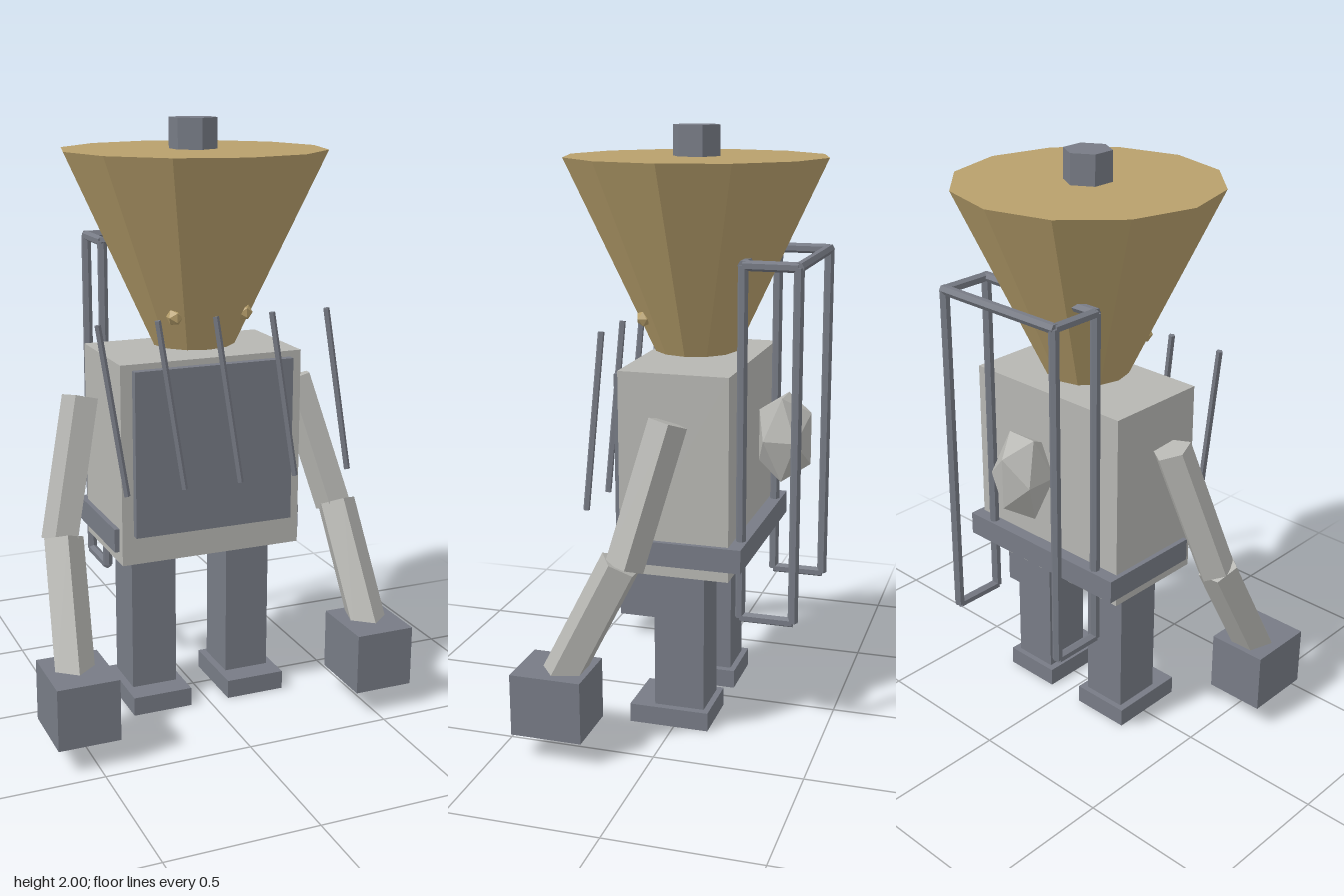
import * as THREE from 'three';

export function createModel() {
  const model = new THREE.Group();
  model.name = 'funnelHeadRobot';
  const flat = (name, color) => {
    const m = new THREE.MeshStandardMaterial({ color, flatShading: true });
    m.name = name;
    return m;
  };
  const brass = flat('brass', 0xb8a06c);
  const slate = flat('slate grey', 0x777b85);
  const pale = flat('pale grey', 0xb6b6b2);

  const add = (name, geometry, material, x = 0, y = 0, z = 0) => {
    const mesh = new THREE.Mesh(geometry, material);
    mesh.name = name;
    mesh.position.set(x, y, z);
    model.add(mesh);
    return mesh;
  };
  // Box given by its minimum and maximum corners
  const box = (name, material, a, b) => add(name,
    new THREE.BoxGeometry(b[0] - a[0], b[1] - a[1], b[2] - a[2]), material,
    (a[0] + b[0]) / 2, (a[1] + b[1]) / 2, (a[2] + b[2]) / 2);
  // Prism running between two points, with an optional twist of its corners
  const rod = (name, material, from, to, radius, sides, twist = 0) => {
    const a = new THREE.Vector3(...from), b = new THREE.Vector3(...to);
    const axis = a.clone().sub(b);
    const geometry = new THREE.CylinderGeometry(radius, radius, axis.length(), sides);
    geometry.rotateY(twist);
    const mesh = add(name, geometry, material, ...a.add(b).multiplyScalar(0.5).toArray());
    mesh.quaternion.setFromUnitVectors(new THREE.Vector3(0, 1, 0), axis.normalize());
    return mesh;
  };

  // Head: funnel with a hexagonal cap
  add('funnelHead', new THREE.CylinderGeometry(0.44, 0.14, 0.64, 12), brass, 0, 1.58, 0);
  add('headCap', new THREE.CylinderGeometry(0.08, 0.08, 0.1, 6), slate, 0, 1.95, 0);

  // Torso, chest plate and belt
  box('torso', pale, [-0.32, 0.56, -0.2], [0.32, 1.24, 0.17]);
  box('chestPlate', slate, [-0.28, 0.66, 0.16], [0.28, 1.22, 0.197]);
  box('belt', slate, [-0.337, 0.6, -0.245], [0.337, 0.68, 0.14]);

  // Slanted rods across the chest
  for (let i = -2; i <= 2; i++) {
    rod('chestRod', slate, [i * 0.2, 1.38, 0.192], [i * 0.2 + 0.08, 0.82, 0.222], 0.011, 5);
  }

  // Paired parts
  for (const s of [-1, 1]) {
    add('eye', new THREE.IcosahedronGeometry(0.029, 0), brass, s * 0.122, 1.378, 0.143);

    box('leg', slate, [s * 0.175 - 0.08, 0.06, -0.1], [s * 0.175 + 0.08, 0.57, 0.073]);
    box('foot', slate, [s * 0.175 - 0.105, 0, -0.12], [s * 0.175 + 0.105, 0.065, 0.155]);

    rod('upperArm', pale, [s * 0.39, 1.1, -0.02], [s * 0.505, 0.65, 0.09], 0.066, 5, Math.PI);
    rod('forearm', pale, [s * 0.505, 0.66, 0.1], [s * 0.538, 0.24, 0.31], 0.07, 5);
    box('hand', slate, [s * 0.53 - 0.104, 0.083, 0.2], [s * 0.53 + 0.104, 0.292, 0.44]);

    // Side loop of the back frame
    const x = s * 0.243, top = 1.582, low = 0.415, near = -0.222, far = -0.4;
    for (const z of [near, far]) rod('framePost', slate, [x, top, z], [x, low, z], 0.017, 6);
    for (const y of [top, low]) rod('frameSideBar', slate, [x, y, near], [x, y, far], 0.017, 6);
  }

  // Upper cross bars of the back frame
  for (const z of [-0.222, -0.4]) {
    rod('frameCrossBar', slate, [-0.25, 1.582, z], [0.25, 1.582, z], 0.017, 6);
  }

  // Tall faceted crystal held in the frame
  add('backCrystal', new THREE.IcosahedronGeometry(0.105, 0).scale(1, 1.6, 1), pale, 0, 0.977, -0.31);

  return model;
}
